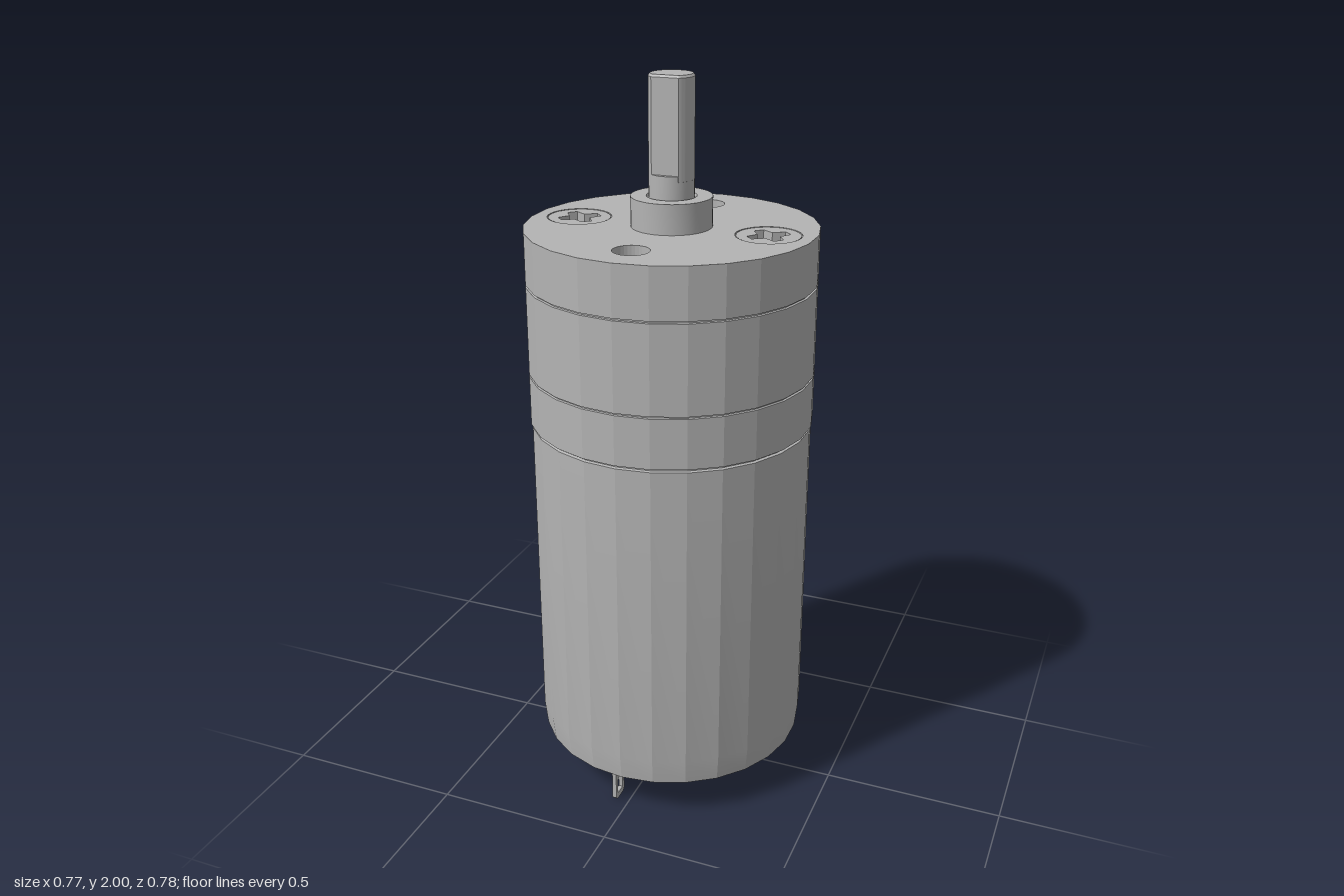
import * as THREE from 'three';
import { toCreasedNormals } from 'three/addons/utils/BufferGeometryUtils.js';

const SIDES = 26;
const FACETED = 0.12;
const SMOOTH = 0.6;

export function createModel() {
  const model = new THREE.Group();
  const steel = new THREE.MeshStandardMaterial({ color: 0xb4b4b4 });

  const add = (name, geometry, crease, parent = model) => {
    const mesh = new THREE.Mesh(toCreasedNormals(geometry, crease), steel);
    mesh.name = name;
    parent.add(mesh);
    return mesh;
  };
  const lathe = (points, sides) =>
    new THREE.LatheGeometry(points.map(([r, y]) => new THREE.Vector2(r, y)), sides);
  // Horizontal slab from a shape drawn in x and -z, rising from y
  const slab = (shape, y, depth, options = {}) =>
    new THREE.ExtrudeGeometry(shape, { depth, bevelEnabled: false, curveSegments: 16, ...options })
      .rotateX(-Math.PI / 2).translate(0, y, 0);
  const hole = (shape, x, z, r) =>
    shape.holes.push(new THREE.Path().absarc(x, -z, r, 0, Math.PI * 2, true));
  const polygon = (r) => new THREE.Shape(Array.from({ length: SIDES }, (_, i) => {
    const a = (i / SIDES) * Math.PI * 2;
    return new THREE.Vector2(-Math.sin(a) * r, Math.cos(a) * r);
  }));

  // Motor can with tapered lower lip
  add('motorCan', lathe([
    [0.362, 0.135], [0.362, 0.117], [0.378, 0.117], [0.386, 0.19],
    [0.386, 1.072], [0.378, 1.074], [0.378, 1.09],
  ], SIDES), FACETED);

  // Gearbox rings separated by a fine seam
  add('gearboxLowerRing', lathe([
    [0.37, 1.082], [0.39, 1.082], [0.39, 1.219], [0.384, 1.22], [0.384, 1.225],
  ], SIDES), FACETED);
  add('gearboxUpperRing', lathe([
    [0.384, 1.224], [0.39, 1.225], [0.39, 1.466], [0.384, 1.467], [0.384, 1.473], [0, 1.473],
  ], SIDES), FACETED);

  // Face plate with mounting holes and screw seats
  const plate = polygon(0.39);
  for (const s of [-1, 1]) {
    hole(plate, 0, s * 0.267, 0.048);
    hole(plate, s * 0.267, 0, 0.087);
  }
  add('facePlate', slab(plate, 1.472, 0.138), FACETED);

  // Cross-recessed screws, flush with the plate
  for (const s of [-1, 1]) {
    const screw = new THREE.Group();
    screw.name = s > 0 ? 'leftScrew' : 'rightScrew';
    screw.position.set(s * 0.267, 1.609, 0);
    const head = new THREE.Shape().absarc(0, 0, 0.0845, 0, Math.PI * 2, false);
    const cross = [];
    for (let k = 0; k < 4; k++) {
      const a = Math.PI / 4 + k * Math.PI / 2;
      for (const [u, v] of [[0.056, -0.014], [0.056, 0.014], [0.021, 0.021]]) {
        cross.push(new THREE.Vector2(
          u * Math.cos(a) - v * Math.sin(a), u * Math.sin(a) + v * Math.cos(a)));
      }
    }
    head.holes.push(new THREE.Path(cross.reverse()));
    add('screwHead', slab(head, -0.04, 0.04), 0.3, screw);
    add('screwRecess', lathe([[0.07, -0.025], [0.022, -0.035], [0, -0.06]], 8), FACETED, screw);
    model.add(screw);
  }

  // Shaft bearing collar with a bore
  add('shaftCollar', lathe([
    [0.108, 1.605], [0.108, 1.69], [0.0665, 1.69], [0.0625, 1.684], [0.0625, 1.61],
  ], 32), SMOOTH);

  // Output shaft: round root, then a flat on the front
  add('shaftRoot', new THREE.CylinderGeometry(0.06, 0.06, 0.15, 32).translate(0, 1.675, 0), SMOOTH);
  const dShape = new THREE.Shape();
  dShape.absarc(0, 0, 0.06, -0.9, Math.PI + 0.9, false);
  dShape.closePath();
  add('shaftFlat', slab(dShape, 1.735, 0.259, {
    bevelEnabled: true, bevelThickness: 0.006, bevelSize: 0.005, bevelOffset: -0.005,
    bevelSegments: 1, curveSegments: 28,
  }), 0.5);

  // End cap, recessed inside the lip
  const cap = polygon(0.366);
  for (const s of [-1, 1]) {
    hole(cap, s * 0.2, 0, 0.014);
    for (const t of [-1, 1]) hole(cap, s * 0.13, t * 0.305, 0.027);
  }
  add('endCap', slab(cap, 0.128, 0.03), SMOOTH);
  add('endCapBacking', new THREE.CircleGeometry(0.366, SIDES)
    .rotateX(Math.PI / 2).translate(0, 0.157, 0), SMOOTH);

  // Rear bearing boss
  add('rearBoss', lathe([
    [0, 0.08], [0.03, 0.08], [0.03, 0.065], [0.082, 0.065], [0.091, 0.075], [0.091, 0.13],
  ], 32), SMOOTH);

  // Solder terminals with a slot and a bent foot
  for (const s of [-1, 1]) {
    const tag = new THREE.Shape([
      [-0.028, 0.14], [-0.028, 0.008], [-0.02, 0], [0.02, 0], [0.028, 0.008], [0.028, 0.14],
    ].map(([x, y]) => new THREE.Vector2(x, y)));
    const slot = new THREE.Path();
    slot.absarc(0, 0.054, 0.016, 0, Math.PI, false);
    slot.lineTo(-0.016, 0.018);
    slot.lineTo(0.016, 0.018);
    slot.closePath();
    tag.holes.push(slot);
    const terminal = new THREE.Group();
    terminal.name = s > 0 ? 'frontTerminal' : 'backTerminal';
    terminal.position.set(-s * 0.04, 0, s * 0.313);
    add('terminalTag', new THREE.ExtrudeGeometry(tag, { depth: 0.012, bevelEnabled: false })
      .translate(0, 0, -0.006).rotateY(-Math.PI / 2), SMOOTH, terminal);
    add('terminalFoot', new THREE.BoxGeometry(0.11, 0.012, 0.056)
      .translate(s * 0.05, 0.126, 0), SMOOTH, terminal);
    model.add(terminal);
  }

  return model;
}
